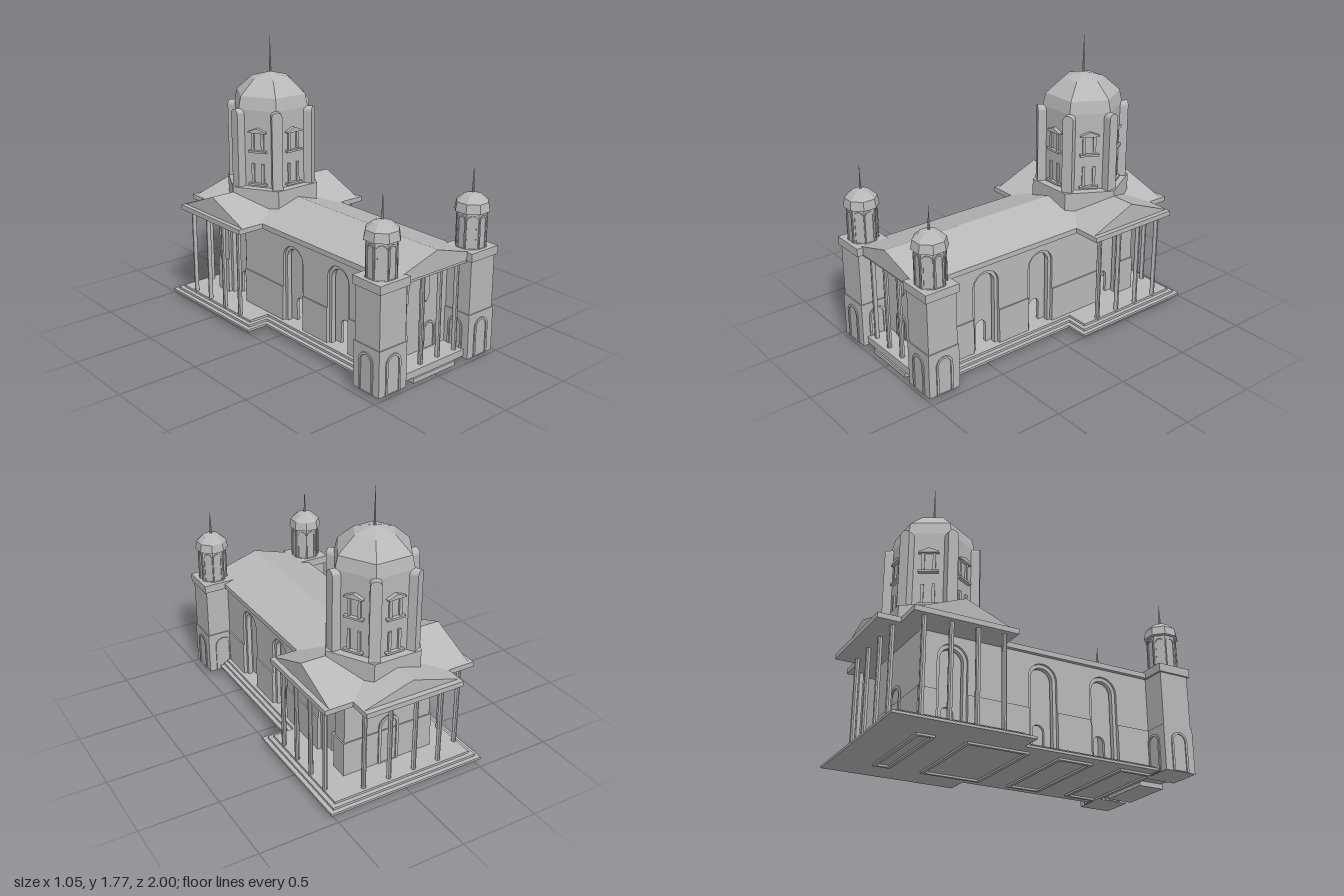
import * as THREE from 'three';

const stone = new THREE.MeshStandardMaterial({ color: 0xb8b8b8, flatShading: true, side: THREE.DoubleSide });
stone.name = 'grey stone';

const CZ = -0.54; // centre of the crossing
const mesh = (name, geo, parent, x = 0, y = 0, z = 0) => {
  const m = new THREE.Mesh(geo, stone);
  m.name = name;
  m.position.set(x, y, z);
  parent.add(m);
  return m;
};
// box given by its limits
const box = (name, parent, x0, x1, y0, y1, z0, z1) =>
  mesh(name, new THREE.BoxGeometry(x1 - x0, y1 - y0, z1 - z0), parent, (x0 + x1) / 2, (y0 + y1) / 2, (z0 + z1) / 2);
const extrude = (shape, depth) => new THREE.ExtrudeGeometry(shape, { depth, bevelEnabled: false, curveSegments: 8 });

// round-headed outline, centred on u
function arch(Type, u, w, y0, y1) {
  const s = new Type(), r = w / 2;
  s.moveTo(u - r, y0);
  s.lineTo(u + r, y0);
  s.lineTo(u + r, y1 - r);
  s.absarc(u, y1 - r, r, 0, Math.PI, false);
  s.lineTo(u - r, y0);
  return s;
}
function archFrame(u, w, y0, y1, t) {
  const s = arch(THREE.Shape, u, w, y0, y1);
  s.holes.push(arch(THREE.Path, u, w - 2 * t, y0 + 0.002, y1 - t));
  return s;
}
const poly = (pts) => new THREE.Shape(pts.map(p => new THREE.Vector2(p[0], p[1])));

// cross-shaped slab: nave plus crossing arm
function crossSlab(name, parent, nx, zb, zf, tx, t0, t1, y0, y1) {
  const pts = [[nx, zf], [nx, t1], [tx, t1], [tx, t0], [nx, t0], [nx, zb]];
  const all = pts.concat(pts.map(p => [-p[0], p[1]]).reverse()).map(p => [p[0], -p[1]]);
  mesh(name, extrude(poly(all), y1 - y0), parent, 0, y0, 0).rotation.x = -Math.PI / 2;
}

// wall drawn in (z, y), with its outer face at x on either side
function sideWall(name, parent, shape, x, depth) {
  for (const s of [1, -1]) {
    mesh(name, extrude(shape, depth), parent, s > 0 ? x : -x + depth).rotation.y = -Math.PI / 2;
  }
}

// faceted dome with a thin spire
function dome(parent, name, sides, profile, tip) {
  const g = new THREE.LatheGeometry(profile.map(p => new THREE.Vector2(p[0], p[1])), sides, Math.PI / sides);
  mesh(name, g, parent);
  const top = profile[profile.length - 1][1] - 0.015;
  mesh(name + 'Spire', new THREE.CylinderGeometry(0.001, 0.008, tip - top, 6), parent, 0, (tip + top) / 2, 0);
}

function drum() {
  const g = new THREE.Group();
  g.name = 'drum';
  g.position.z = CZ;
  mesh('drumBase', new THREE.CylinderGeometry(0.315, 0.315, 0.185, 6, 1, false, Math.PI / 6), g, 0, 0.7375, 0);
  dome(g, 'mainDome', 6, [[0.255, 0.83], [0.255, 1.33], [0.237, 1.41], [0.13, 1.505], [0.001, 1.54]], 1.77);
  for (let i = 0; i < 6; i++) {
    // rounded corner pilaster
    const corner = new THREE.Group();
    corner.name = 'pilaster';
    corner.rotation.y = Math.PI / 6 + i * Math.PI / 3;
    mesh('pilasterShaft', extrude(arch(THREE.Shape, 0, 0.066, 0.83, 1.335), 0.06), corner, 0, 0, 0.23);
    g.add(corner);
    // two tiers of windows on each face
    const face = new THREE.Group();
    face.name = 'drumWindows';
    face.rotation.y = i * Math.PI / 3;
    const f = 0.22;
    for (const [y0, y1] of [[0.845, 0.985], [1.06, 1.19]]) {
      box('windowSill', face, -0.06, 0.06, y0, y0 + 0.013, f - 0.01, f + 0.026);
      for (const s of [-1, 1]) box('windowPost', face, s * 0.033 - 0.009, s * 0.033 + 0.009, y0 + 0.013, y1, f - 0.01, f + 0.013);
    }
    mesh('windowPediment', extrude(poly([[-0.06, 1.188], [0.06, 1.188], [0.06, 1.196], [0, 1.22], [-0.06, 1.196]]), 0.036), face, 0, 0, f - 0.01);
    g.add(face);
  }
  return g;
}

function tower(side) {
  const g = new THREE.Group();
  g.name = 'bellTower';
  g.position.set(side * 0.357, 0, 0.887);
  const sq = (n, h, y0, y1) => box(n, g, -h, h, y0, y1, -h, h);
  sq('towerPlinth', 0.105, 0.018, 0.3);
  sq('towerShaft', 0.099, 0.3, 0.635);
  sq('towerCap', 0.112, 0.635, 0.687);
  mesh('lantern', new THREE.CylinderGeometry(0.09, 0.09, 0.22, 8, 1, false, Math.PI / 8), g, 0, 0.797, 0);
  for (let i = 0; i < 8; i++) {
    const a = new THREE.Group();
    a.name = 'lanternArch';
    a.rotation.y = i * Math.PI / 4;
    mesh('lanternArchFrame', extrude(archFrame(0, 0.064, 0.688, 0.89, 0.01), 0.007), a, 0, 0, 0.082);
    if (i % 2 === 0) mesh('towerDoorFrame', extrude(archFrame(0, 0.112, 0.02, 0.262, 0.014), 0.008), a, 0, 0, 0.104);
    g.add(a);
  }
  dome(g, 'towerDome', 8, [[0.085, 0.9], [0.108, 0.905], [0.098, 0.96], [0.055, 0.998], [0.001, 1.012]], 1.155);
  return g;
}

function column(parent, x, z) {
  mesh('column', new THREE.CylinderGeometry(0.015, 0.015, 0.58, 10), parent, x, 0.35, z);
}

export function createModel() {
  const root = new THREE.Group();
  root.name = 'church';

  // stepped base
  for (let i = 0; i < 3; i++) {
    const d = i * 0.027;
    crossSlab('baseStep', root, 0.385 - d, -0.97 + d, 0.96, 0.526 - d, -0.97 + d, -0.12 - d, 0.03 + i * 0.0145, 0.0445 + i * 0.0145);
  }
  box('frontStep', root, -0.17, 0.17, 0, 0.03, 0.8, 0.97);

  // side walls with tall arched recesses
  const arches = [0.467, 0.05, -0.53];
  const wall = poly([[-0.73, 0.03], [0.8, 0.03], [0.8, 0.645], [-0.73, 0.645]]);
  const panel = poly([[-0.7, 0.03], [0.78, 0.03], [0.78, 0.64], [-0.7, 0.64]]);
  for (const z of arches) {
    wall.holes.push(arch(THREE.Path, z, 0.19, 0.05, 0.59));
    panel.holes.push(arch(THREE.Path, z, 0.076, 0.073, 0.232));
    sideWall('archFrame', root, archFrame(z, 0.19, 0.05, 0.59, 0.022), 0.285, 0.03);
  }
  sideWall('naveWall', root, wall, 0.3, 0.06);
  sideWall('recessWall', root, panel, 0.24, 0.02);

  // plinths between the arches, and their footings beneath the base
  for (const [z0, z1] of [[0.562, 0.795], [0.145, 0.372], [-0.435, -0.045], [-0.735, -0.625]]) {
    for (const s of [-1, 1]) {
      box('wallPlinth', root, s * 0.3 - 0.008, s * 0.3 + 0.008, 0.03, 0.3, z0, z1);
      box('footing', root, s * 0.3 - 0.01, s * 0.3 + 0.01, 0.018, 0.032, z0, z1);
    }
    for (const z of [z0 + 0.01, z1 - 0.01]) box('crossFooting', root, -0.3, 0.3, 0.018, 0.032, z - 0.01, z + 0.01);
  }

  // front wall with doors and hanging panels
  box('frontWall', root, -0.29, 0.29, 0.06, 0.645, 0.77, 0.8);
  for (const s of [-1, 1]) {
    mesh('frontDoorFrame', extrude(archFrame(s * 0.115, 0.1, 0.073, 0.245, 0.012), 0.008), root, 0, 0, 0.8);
    const c = s * 0.083;
    mesh('hangingPanel', extrude(poly([[c - 0.023, 0.62], [c - 0.023, 0.41], [c, 0.375], [c + 0.023, 0.41], [c + 0.023, 0.62]]), 0.008), root, 0, 0, 0.8);
  }

  // back wall
  box('backWall', root, -0.3, 0.3, 0.06, 0.645, -0.73, -0.7);
  box('backPlinth', root, -0.308, 0.308, 0.06, 0.3, -0.738, -0.72);
  mesh('backDoorFrame', extrude(archFrame(0, 0.14, 0.073, 0.4, 0.018), 0.008), root, 0, 0, -0.746);

  // columns of the front, back and side porches
  for (const k of [-1.5, -0.5, 0.5, 1.5]) {
    column(root, k * 0.14, 0.92);
    column(root, k * 0.175, -0.885);
    for (const s of [-1, 1]) column(root, s * 0.46, -0.537 + k * 0.164);
  }

  // eaves and crossing gable roofs
  crossSlab('eaves', root, 0.325, -1, 0.96, 0.505, -0.86, -0.22, 0.638, 0.67);
  box('frontArchitrave', root, -0.26, 0.26, 0.62, 0.64, 0.9, 0.95);
  const gable = (w, h) => poly([[-w, 0.668], [w, 0.668], [0, h]]);
  mesh('naveRoof', extrude(gable(0.325, 0.766), 1.925), root, 0, 0, -0.965);
  mesh('crossRoof', extrude(gable(0.318, 0.796), 0.95), root, -0.475, 0, CZ).rotation.y = Math.PI / 2;

  root.add(drum(), tower(1), tower(-1));
  return root;
}
